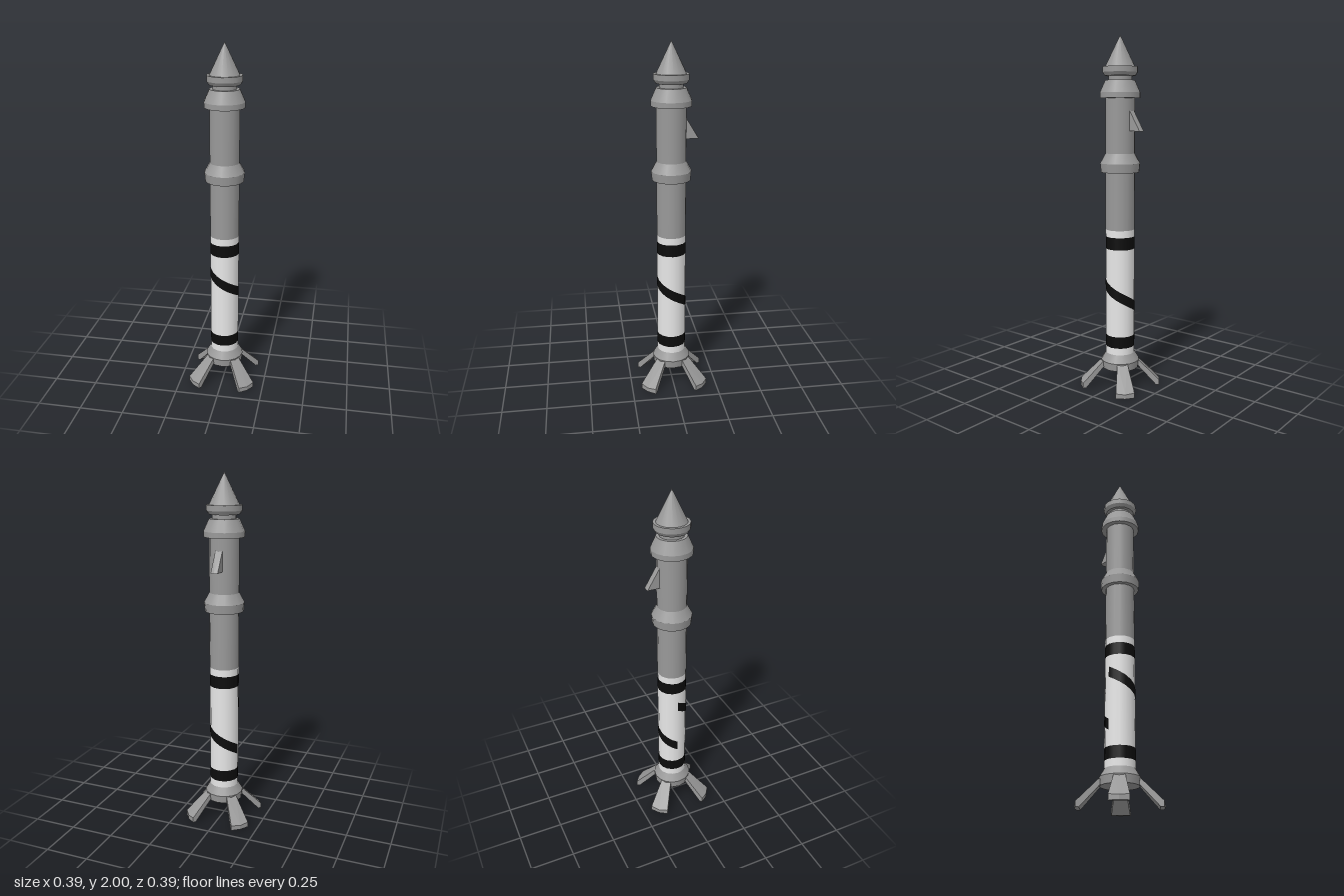
import * as THREE from 'three';
import { ConvexGeometry } from 'three/addons/geometries/ConvexGeometry.js';

const SIDES = 16;
const R = 0.083; // main tube radius

function material(name, color) {
  const m = new THREE.MeshStandardMaterial({ color });
  m.name = name;
  return m;
}

export function createModel() {
  const grey = material('grey metal', 0x999999);
  const white = material('white paint', 0xf0f0f0);
  const black = material('black paint', 0x0c0c0c);
  const rocket = new THREE.Group();
  rocket.name = 'rocket';

  function add(name, geometry, mat, parent = rocket) {
    const mesh = new THREE.Mesh(geometry, mat);
    mesh.name = name;
    parent.add(mesh);
    return mesh;
  }

  // One round section between two heights
  function section(name, y0, y1, r0, r1, mat) {
    const g = new THREE.CylinderGeometry(r1, r0, y1 - y0, SIDES);
    g.translate(0, (y0 + y1) / 2, 0);
    add(name, g, mat);
  }

  // Engine skirt, painted lower stage, upper stage, collars and nose
  [
    ['engineSkirt', 0.11, 0.155, 0.105, 0.11, grey],
    ['engineSkirtTaper', 0.155, 0.2, 0.11, R, grey],
    ['lowerStageBase', 0.2, 0.24, R, R, white],
    ['lowerBand', 0.24, 0.307, R, R, black],
    ['lowerStage', 0.307, 0.815, R, R, white],
    ['upperBand', 0.815, 0.885, R, R, black],
    ['lowerStageTop', 0.885, 0.925, R, R, white],
    ['upperStage', 0.925, 1.7, R, R, grey],
    ['middleCollar', 1.25, 1.3, 0.108, 0.113, grey],
    ['middleCollarTaper', 1.3, 1.355, 0.113, R, grey],
    ['topCollar', 1.66, 1.69, 0.113, 0.113, grey],
    ['topCollarTaper', 1.69, 1.757, 0.113, 0.083, grey],
    ['neck', 1.757, 1.785, 0.066, 0.066, grey],
    ['noseRingTaper', 1.78, 1.8, 0.085, 0.098, grey],
    ['noseRing', 1.8, 1.83, 0.098, 0.098, grey],
    ['noseCone', 1.83, 2.0, 0.083, 0, grey],
  ].forEach((s) => section(...s));

  // Stripe winding once around the lower stage, sheared downwards
  const stripe = new THREE.CylinderGeometry(R + 0.001, R + 0.001, 0.06, SIDES, 1, true, -Math.PI / 2);
  const pos = stripe.attributes.position;
  for (let i = 0; i < pos.count; i++) {
    pos.setY(i, pos.getY(i) + 0.72 - 0.295 * stripe.attributes.uv.getX(i));
  }
  add('spiralStripe', stripe, black);

  // Four splayed legs, each a slab widening to a pointed foot
  const legPoints = [];
  for (const s of [-1, 1]) {
    legPoints.push(
      new THREE.Vector3(s * 0.028, 0.162, 0.092),
      new THREE.Vector3(s * 0.028, 0.125, 0.092),
      new THREE.Vector3(s * 0.053, 0.03, 0.223),
      new THREE.Vector3(s * 0.053, 0, 0.223),
      new THREE.Vector3(s * 0.05, 0, 0.205),
    );
  }
  legPoints.push(new THREE.Vector3(0, 0.025, 0.232), new THREE.Vector3(0, 0, 0.232));
  const legGeometry = new ConvexGeometry(legPoints);
  for (let i = 0; i < 4; i++) {
    add('leg', legGeometry, grey).rotation.y = Math.PI / 4 + (i * Math.PI) / 2;
  }

  // Small wedge fin on the back of the upper stage
  const finPoints = [new THREE.Vector3(0, 1.48, -0.152)];
  for (const s of [-0.02, 0.02]) {
    finPoints.push(
      new THREE.Vector3(s, 1.6, -0.075),
      new THREE.Vector3(s, 1.48, -0.075),
      new THREE.Vector3(s, 1.48, -0.148),
    );
  }
  add('backFin', new ConvexGeometry(finPoints), grey);

  return rocket;
}
